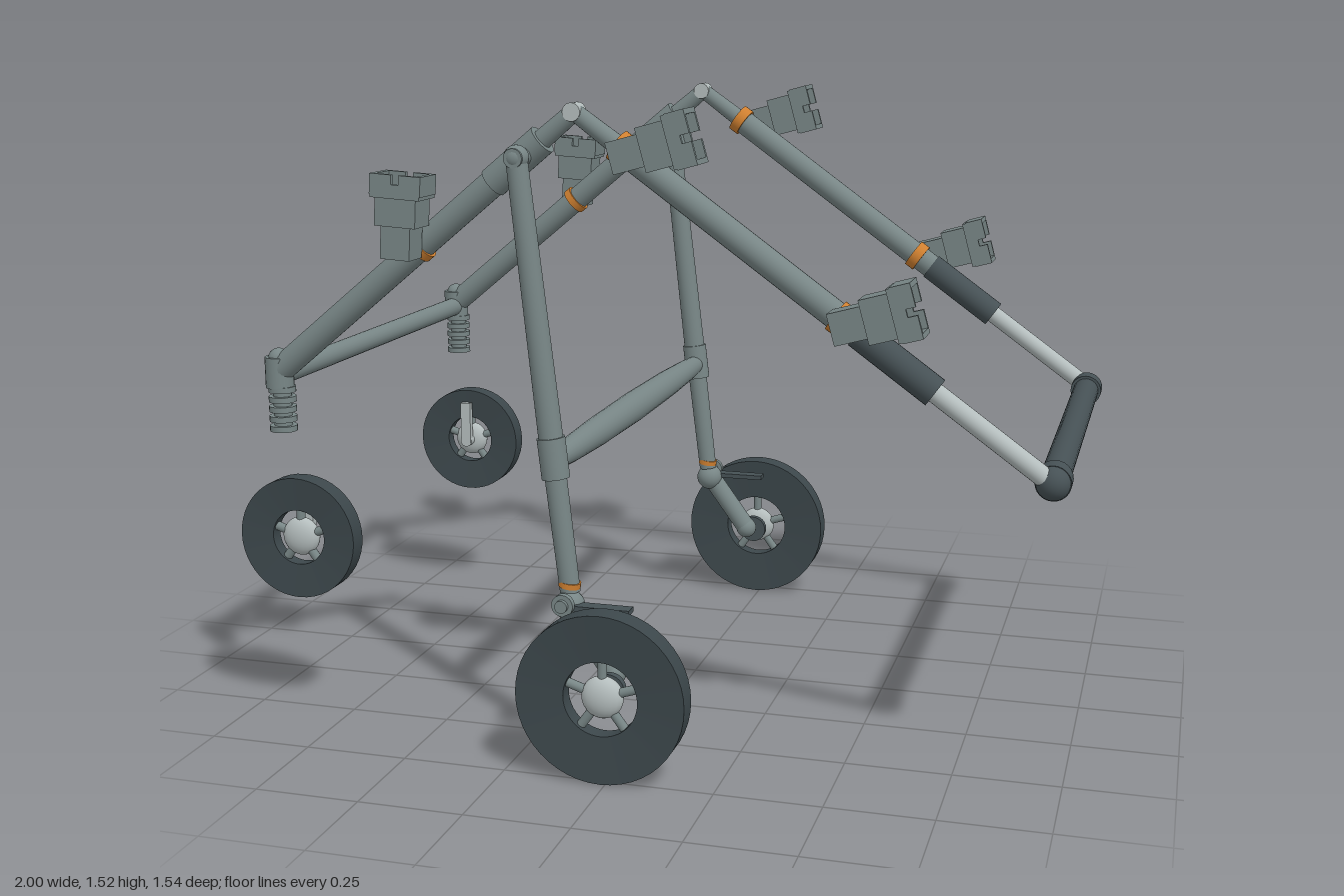
import * as THREE from 'three';

const mats = {};
for (const [name, color] of Object.entries({
  greyMetal: 0x788686, lightSteel: 0xb4bdbd, darkGrip: 0x465155, tyreRubber: 0x3c474b, orangeClamp: 0xd08030,
})) {
  mats[name] = new THREE.MeshStandardMaterial({ color });
  mats[name].name = name;
}
const { greyMetal, lightSteel, darkGrip, tyreRubber, orangeClamp } = mats;
const V = (x, y, z) => new THREE.Vector3(x, y, z);

function add(parent, name, geo, mat, pos = V(0, 0, 0)) {
  const m = new THREE.Mesh(geo, mat);
  m.name = name;
  m.position.copy(pos);
  parent.add(m);
  return m;
}
// Round bar from a to b, optionally tapered
function bar(parent, name, mat, a, b, r0, r1 = r0) {
  const d = b.clone().sub(a);
  const m = add(parent, name, new THREE.CylinderGeometry(r1, r0, d.length(), 24), mat, a.clone().add(b).multiplyScalar(0.5));
  m.quaternion.setFromUnitVectors(V(0, 1, 0), d.normalize());
  return m;
}
const ball = (parent, name, mat, p, r) => add(parent, name, new THREE.SphereGeometry(r, 20, 14), mat, p);
const box = (parent, name, mat, p, w, h, d) => add(parent, name, new THREE.BoxGeometry(w, h, d), mat, p);

// Disc tyre around an open rim with five spokes and a domed hub
function wheel(parent, name, p, R, inner, hub, w) {
  const g = new THREE.Group();
  g.name = name;
  g.position.copy(p);
  parent.add(g);
  const h = w / 2, n = h * 0.7;
  const pts = [[inner, -n], [R, -h], [R, -h], [R, h], [R, h], [inner, n], [inner, n], [inner, -n]];
  const tyre = new THREE.LatheGeometry(pts.map(q => new THREE.Vector2(...q)), 48).rotateX(Math.PI / 2);
  add(g, 'tyre', tyre, tyreRubber);
  ball(g, 'hub', lightSteel, V(0, 0, 0), hub).scale.z = Math.min(1, h / hub);
  for (let i = 0; i < 5; i++) {
    const a = Math.PI / 2 + i * Math.PI * 0.4, c = Math.cos(a), s = Math.sin(a);
    bar(g, 'spoke', greyMetal, V(c * hub * 0.8, s * hub * 0.8, 0), V(c * (inner + 0.005), s * (inner + 0.005), 0), 0.011);
  }
  return g;
}

// Stepped box bracket with an open, notched socket; built along local +x
function bracket(parent, p, angle) {
  const g = new THREE.Group();
  g.name = 'socketBracket';
  g.position.copy(p);
  g.rotation.z = angle;
  parent.add(g);
  box(g, 'base', greyMetal, V(0.045, 0, 0), 0.09, 0.072, 0.07);
  box(g, 'neck', greyMetal, V(0.108, 0, 0), 0.065, 0.1, 0.08);
  box(g, 'socketFloor', greyMetal, V(0.148, 0, 0), 0.016, 0.12, 0.09);
  for (const s of [-1, 1]) {
    box(g, 'socketWall', greyMetal, V(0.171, s * 0.056, 0), 0.046, 0.012, 0.09);
    for (const t of [-1, 1]) {
      box(g, 'notchedWall', greyMetal, V(0.171, s * 0.03, t * 0.04), 0.046, 0.042, 0.01);
      box(g, 'notchRoot', greyMetal, V(0.162, s * 0.006, t * 0.04), 0.02, 0.012, 0.01);
    }
  }
}

// One side frame; s is +1 or -1 in z
function sideFrame(s) {
  const g = new THREE.Group();
  g.name = s > 0 ? 'frontSideFrame' : 'backSideFrame';
  const P = (x, y, z = 0.545) => V(x, y, z * s);
  const apex = P(-0.13, 1.5), tail = P(-0.89, 0.87), grip = P(0.955, 0.717);
  const along = (a, b, t) => a.clone().lerp(b, t);

  // Rear arm with thicker sleeve and hinge
  bar(g, 'rearArm', greyMetal, tail, along(tail, apex, 0.86), 0.032);
  bar(g, 'rearArmSleeve', greyMetal, along(tail, apex, 0.74), along(tail, apex, 0.9), 0.036);
  bar(g, 'rearArmTip', greyMetal, along(tail, apex, 0.84), apex, 0.025, 0.021);
  bar(g, 'apexPin', lightSteel, P(-0.13, 1.5, 0.522), P(-0.13, 1.5, 0.568), 0.021);

  // Telescoping push arm
  bar(g, 'pushArmTip', greyMetal, apex, along(apex, grip, 0.14), 0.02, 0.024);
  bar(g, 'pushArm', greyMetal, along(apex, grip, 0.1), along(apex, grip, 0.62), 0.032);
  bar(g, 'pushArmSleeve', darkGrip, along(apex, grip, 0.6), along(apex, grip, 0.76), 0.035);
  bar(g, 'pushArmExtension', lightSteel, along(apex, grip, 0.74), grip, 0.023);
  bar(g, 'handleCollar', darkGrip, P(0.955, 0.717, 0.485), P(0.955, 0.717, 0.54), 0.04);
  ball(g, 'handleEnd', darkGrip, P(0.955, 0.717, 0.535), 0.039);

  // Orange clamps and their brackets
  for (const [a, b, t] of [[apex, grip, 0.102], [apex, grip, 0.564], [tail, apex, 0.5]]) {
    bar(g, 'clamp', orangeClamp, along(a, b, t - 0.01), along(a, b, t + 0.01), 0.038);
  }
  bracket(g, P(-0.015, 1.405, 0.615), 0.27);
  bracket(g, P(0.48, 1.05, 0.615), 0.27);
  bracket(g, P(-0.53, 1.165, 0.615), 1.51);

  // Rear corner with spring stack
  bar(g, 'springHead', greyMetal, P(-0.89, 0.83), P(-0.89, 0.905), 0.034);
  ball(g, 'springHeadCap', greyMetal, P(-0.89, 0.9), 0.026);
  bar(g, 'springCore', greyMetal, P(-0.885, 0.725), P(-0.885, 0.84), 0.022);
  for (let i = 0; i < 5; i++) {
    const y = 0.73 + i * 0.024;
    bar(g, 'springCoil', greyMetal, P(-0.885, y - 0.007), P(-0.885, y + 0.007), 0.033);
  }

  // Leg: hinge, upper tube, joint, lower tube
  const hip = P(-0.245, 1.4, 0.61), knee = P(-0.168, 0.71, 0.61), ankle = P(-0.132, 0.4, 0.61);
  bar(g, 'hipPin', greyMetal, P(-0.245, 1.4, 0.54), P(-0.245, 1.4, 0.635), 0.022);
  ball(g, 'hipCap', greyMetal, hip, 0.029);
  bar(g, 'upperLeg', greyMetal, hip, knee, 0.025, 0.029);
  bar(g, 'kneeSleeve', greyMetal, P(-0.174, 0.765, 0.61), P(-0.163, 0.67, 0.61), 0.033);
  bar(g, 'lowerLeg', greyMetal, knee, ankle, 0.026, 0.024);
  bar(g, 'ankleClamp', orangeClamp, P(-0.134, 0.412, 0.61), P(-0.132, 0.425, 0.61), 0.026);

  // Ankle, brake lever and swing arm to the big wheel
  ball(g, 'ankleBall', greyMetal, P(-0.13, 0.37, 0.62), 0.036);
  bar(g, 'anklePin', greyMetal, P(-0.13, 0.385, 0.6), P(-0.13, 0.385, 0.685), 0.015);
  bar(g, 'ankleKnob', greyMetal, P(-0.13, 0.385, 0.66), P(-0.13, 0.385, 0.675), 0.026);
  box(g, 'brakeLever', darkGrip, P(-0.05, 0.375, 0.64), 0.15, 0.012, 0.035);
  bar(g, 'swingArm', greyMetal, P(-0.13, 0.37, 0.63), P(-0.02, 0.22, 0.63), 0.027);
  ball(g, 'swingArmEnd', greyMetal, P(-0.02, 0.22, 0.63), 0.029);
  bar(g, 'axleFlange', darkGrip, P(-0.012, 0.202, 0.678), P(-0.012, 0.202, 0.696), 0.037);
  bar(g, 'axle', darkGrip, P(-0.012, 0.202, 0.69), P(-0.012, 0.202, 0.73), 0.016);
  wheel(g, 'bigWheel', P(-0.012, 0.202, 0.74), 0.2, 0.088, 0.05, 0.058);

  // Small wheel with inner strut
  wheel(g, 'smallWheel', P(-0.85, 0.46, 0.545), 0.15, 0.068, 0.048, 0.05);
  bar(g, 'strutPin', lightSteel, P(-0.85, 0.46, 0.497), P(-0.85, 0.46, 0.54), 0.017);
  box(g, 'strut', lightSteel, P(-0.85, 0.515, 0.505), 0.03, 0.12, 0.018);
  return g;
}

export function createModel() {
  const model = new THREE.Group();
  model.name = 'foldingWheeledFrame';
  model.add(sideFrame(1), sideFrame(-1));
  // Cross bars joining both sides
  bar(model, 'rearCrossBar', greyMetal, V(-0.89, 0.86, -0.545), V(-0.89, 0.86, 0.545), 0.026);
  bar(model, 'pushHandle', darkGrip, V(0.955, 0.717, -0.52), V(0.955, 0.717, 0.52), 0.033);
  const profile = [[0.024, -0.6], [0.03, -0.5], [0.036, -0.3], [0.039, 0], [0.036, 0.3], [0.03, 0.5], [0.024, 0.6]];
  const mid = new THREE.LatheGeometry(profile.map(q => new THREE.Vector2(...q)), 24).rotateX(Math.PI / 2);
  add(model, 'middleCrossBar', mid, greyMetal, V(-0.168, 0.71, 0));
  return model;
}
